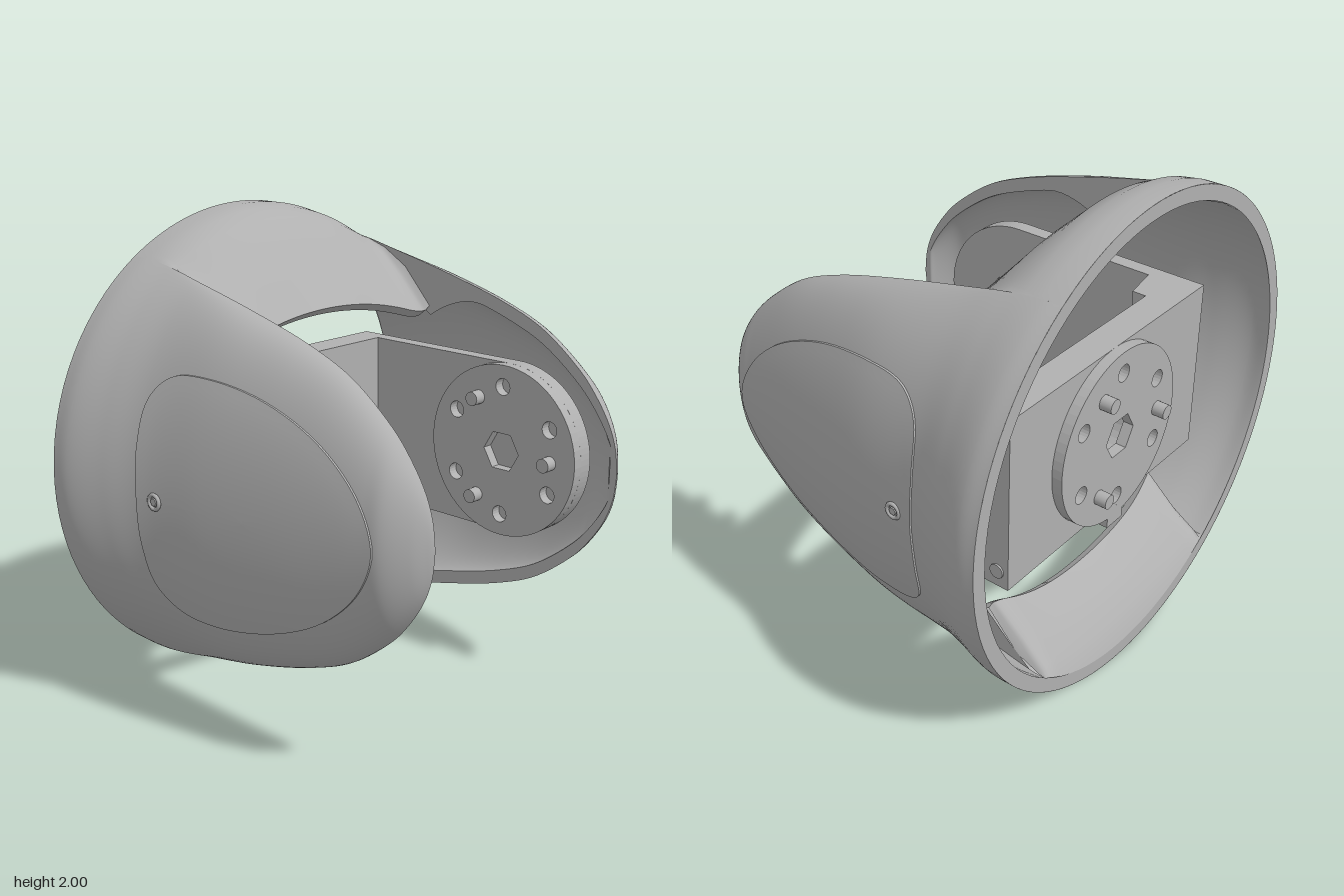
import * as THREE from 'three';

const INNER = 0.555; // half width of the gap between the two arms
const WALL = 0.06;
const { lerp, clamp, smoothstep } = THREE.MathUtils;

// Arm profile along z: rows of (z, half height, outermost x)
const profile = new THREE.CatmullRomCurve3([
  [-0.78, 0.832, 1], [-0.7, 0.832, 0.998], [-0.55, 0.81, 0.94], [-0.4, 0.776, 0.882],
  [-0.1, 0.705, 0.838], [0.2, 0.62, 0.787], [0.4, 0.535, 0.75], [0.58, 0.4, 0.716],
  [0.65, 0.325, 0.7], [0.73, 0.205, 0.635], [0.767, 0.105, 0.582], [0.78, 0, 0.555],
].map(p => new THREE.Vector3(...p)), false, 'centripetal').getPoints(110).map(p => p.toArray());

// Scoops between the arms: rows of (z at centre, height at centre, height at edge, z at edge)
const topScoop = [[-0.78, 1, 0.832, -0.78], [-0.7, 1, 0.832, -0.7], [-0.63, 0.985, 0.825, -0.63],
  [-0.56, 0.95, 0.8, -0.56], [-0.46, 0.855, 0.74, -0.46], [-0.36, 0.735, 0.645, -0.34], [-0.26, 0.615, 0.51, -0.2]];
const bottomScoop = [[-0.78, 1, 0.832, -0.78], [-0.7, 0.9, 0.78, -0.7],
  [-0.6, 0.79, 0.69, -0.59], [-0.5, 0.69, 0.56, -0.45]];

// Piecewise linear lookup of column vc in rows sorted by column zc
function lookup(rows, zc, vc, z) {
  let i = 1;
  while (i < rows.length - 1 && rows[i][zc] < z) i++;
  const a = rows[i - 1], b = rows[i];
  return lerp(a[vc], b[vc], clamp((z - a[zc]) / (b[zc] - a[zc]), 0, 1));
}

// Outer x of an arm section at relative height s
function bulge(z, X, s) {
  const round = (Math.sqrt(1 - 0.692 * s * s) - INNER) / (1 - INNER);
  const oval = Math.sqrt(Math.max(0, 1 - s * s));
  return INNER + (X - INNER) * lerp(round, oval, smoothstep(z, -0.6, 0));
}

// Surface from a function of two indices
function grid(nu, nv, fn) {
  const pos = [], idx = [];
  for (let i = 0; i <= nu; i++) for (let j = 0; j <= nv; j++) pos.push(...fn(i, j));
  for (let i = 0; i < nu; i++) for (let j = 0; j < nv; j++) {
    const a = i * (nv + 1) + j, b = a + nv + 1;
    idx.push(a, b, a + 1, b, b + 1, a + 1);
  }
  const g = new THREE.BufferGeometry();
  g.setAttribute('position', new THREE.Float32BufferAttribute(pos, 3));
  g.setIndex(idx);
  g.computeVertexNormals();
  return g;
}

const polygon = points => new THREE.Shape(points.map(p => new THREE.Vector2(...p)));

const circlePath = (x, y, r, sides = 32) => new THREE.Path(Array.from({ length: sides }, (_, i) => {
  const a = i / sides * Math.PI * 2;
  return new THREE.Vector2(x + r * Math.cos(a), y + r * Math.sin(a));
}));

function plate(outline, holes, depth) {
  const shape = new THREE.Shape(outline.getPoints(24));
  shape.holes.push(...holes);
  return new THREE.ExtrudeGeometry(shape, { depth, bevelEnabled: false });
}

export function createModel() {
  const grey = new THREE.MeshStandardMaterial({ color: 0xb0b0b0, side: THREE.DoubleSide });
  grey.name = 'grey';
  const model = new THREE.Group();
  const add = (parent, name, geo, x = 0, y = 0, z = 0) => {
    const m = new THREE.Mesh(geo, grey);
    m.name = name;
    m.position.set(x, y, z);
    parent.add(m);
    return m;
  };

  // Everything below is built around the shell axis, then lifted
  const body = new THREE.Group();
  body.name = 'jointBody';
  body.position.y = 1;
  model.add(body);

  const n = profile.length - 1, m = 40;
  const armSkin = inset => grid(n, m, (i, j) => {
    const [z, height, width] = profile[i], s = Math.sin((j / m - 0.5) * Math.PI);
    const h = Math.max(0, height - inset), X = Math.max(INNER, width - inset);
    return [bulge(z, X, s), h * s, z];
  });
  // Flat rim facing the gap, deepest where it runs into the scoop
  const armRim = (scoop, sign) => grid(n, 1, (i, j) => {
    const [z, h] = profile[i], lip = scoop[scoop.length - 1];
    let low = lookup(scoop, 3, 2, z);
    if (z > lip[3]) {
      const start = lookup(profile, 0, 1, lip[3]) - lip[2];
      low = h - lerp(start, WALL, Math.sqrt(smoothstep(z, lip[3], lip[3] + 0.3)));
    }
    return [INNER, sign * (j ? Math.max(0, Math.min(low, h)) : h), z];
  });

  // Access panel, slightly proud of the arm skin
  const outline = new THREE.CatmullRomCurve3([[-0.41, 0], [-0.41, 0.2], [-0.385, 0.38], [-0.3, 0.465],
    [-0.12, 0.485], [0.15, 0.44], [0.4, 0.325], [0.57, 0.16], [0.63, 0], [0.57, -0.16], [0.4, -0.325],
    [0.15, -0.44], [-0.12, -0.485], [-0.3, -0.465], [-0.385, -0.38], [-0.41, -0.2]]
    .map(([z, y]) => new THREE.Vector3(0, y, z)), true).getPoints(96);
  const panelPoint = (j, r, lift) => {
    const z = lerp(0.1, outline[j].z, r), y = outline[j].y * r;
    return [bulge(z, lookup(profile, 0, 2, z), y / lookup(profile, 0, 1, z)) + lift, y, z];
  };
  const panel = grid(13, 96, (i, j) => panelPoint(j, i / 13, 0.008));
  const panelEdge = grid(1, 96, (i, j) => panelPoint(j, 1, i ? -0.01 : 0.008));

  for (const side of [1, -1]) {
    const arm = new THREE.Group();
    arm.name = side > 0 ? 'leftArm' : 'rightArm';
    arm.scale.x = side;
    body.add(arm);
    add(arm, 'armOuterSkin', armSkin(0));
    add(arm, 'armInnerSkin', armSkin(WALL));
    add(arm, 'armUpperRim', armRim(topScoop, 1));
    add(arm, 'armLowerRim', armRim(bottomScoop, -1));
    add(arm, 'sidePanel', panel);
    add(arm, 'sidePanelEdge', panelEdge);
    add(arm, 'panelScrewRing', new THREE.TorusGeometry(0.028, 0.008, 8, 24), 0.878, 0, -0.32).rotation.y = Math.PI / 2;
    add(arm, 'panelScrew', new THREE.CylinderGeometry(0.016, 0.016, 0.03, 6), 0.868, 0, -0.32).rotation.z = Math.PI / 2;
  }

  // Scooped bands joining the arms above and below, filleted into the arms
  const band = (rows, sign, part) => {
    const last = rows.length - 1, cols = 72, FILLET = 0.46;
    const at = (i, j, inner) => {
      const x = (j / cols * 2 - 1) * INNER, [z0, c, e, z1] = rows[i];
      const arc = (1 - Math.sqrt(1 - x * x)) / 0.168; // 0 at centre, 1 at the edge
      const z = lerp(z0, z1, (x / INNER) ** 4);
      const u = clamp((Math.abs(x) - FILLET) / (INNER - FILLET), 0, 1);
      const rise = (lookup(profile, 0, 1, z) - e) * (1 - Math.sqrt(1 - u * u)) * (1 - 0.8 * (i / last) ** 3);
      const y = lerp(c, e, Math.min(arc, 1)) + rise;
      return inner ? [x, sign * (y - (i === last ? 0.03 : WALL)), i ? z - 0.04 : z] : [x, sign * y, z];
    };
    add(body, part + 'BandOuter', grid(last, cols, (i, j) => at(i, j, false)));
    add(body, part + 'BandInner', grid(last, cols, (i, j) => at(i, j, true)));
    add(body, part + 'BandLip', grid(1, cols, (i, j) => at(last, j, i === 1)));
  };
  band(topScoop, 1, 'upper');
  band(bottomScoop, -1, 'lower');
  add(body, 'backRim', new THREE.RingGeometry(0.94, 1, 96), 0, 0, -0.78);

  // U-shaped bracket: back plate with countersunk bore and counterbored holes
  const bracket = new THREE.Group();
  bracket.name = 'bracket';
  body.add(bracket);
  const drill = [[0.24, 0.14], [-0.24, 0.14], [0.24, -0.14], [-0.24, -0.14]];
  add(bracket, 'backPlate', plate(polygon([[-0.62, -0.37], [0.62, -0.37], [0.62, 0.37], [-0.62, 0.37]]),
    [circlePath(0, 0, 0.14), ...drill.map(([x, y]) => circlePath(x, y, 0.06))], 0.13), 0, 0, -0.63);
  for (const [x, y] of drill)
    add(bracket, 'counterbore', new THREE.RingGeometry(0.036, 0.06, 24), x, y, -0.53);
  add(bracket, 'countersink', new THREE.CylinderGeometry(0.14, 0.1, 0.05, 40, 1, true), 0, 0, -0.525).rotation.x = Math.PI / 2;
  add(bracket, 'rib', new THREE.BoxGeometry(0.37, 0.06, 0.03), 0.325, 0, -0.495);

  // Sloped corner step beside the right cheek
  const step = polygon([[-0.62, -0.5], [-0.4, -0.5], [-0.4, -0.44], [-0.62, -0.4]]);
  add(bracket, 'cornerStep', plate(step, [], 0.74), 0, 0.37, 0).rotation.x = Math.PI / 2;

  // Round-ended cheeks
  const cheek = holes => {
    const s = new THREE.Shape();
    s.moveTo(0.63, -0.37).lineTo(0.63, 0.37).lineTo(-0.24, 0.37);
    s.absarc(-0.24, 0, 0.37, Math.PI / 2, Math.PI * 1.5, false);
    return plate(s, holes, 0.065).rotateY(Math.PI / 2);
  };
  add(bracket, 'leftCheek', cheek([]), INNER, 0, 0);
  add(bracket, 'rightCheek', cheek([circlePath(-0.24, 0, 0.15)]), -0.62, 0, 0);
  const nut = plate(circlePath(0, 0, 0.13), [circlePath(0, 0, 0.09, 6)], 0.055).rotateY(Math.PI / 2);
  add(bracket, 'hexSocket', nut, -0.622, 0, 0.24);
  add(bracket, 'socketRing', new THREE.TorusGeometry(0.145, 0.014, 8, 40), -0.568, 0, 0.24).rotation.y = Math.PI / 2;
  for (const y of [-0.3, 0.3]) for (const z of [-0.58, -0.46]) for (const x of [-0.62, 0.62])
    add(bracket, 'cheekScrew', new THREE.CylinderGeometry(0.03, 0.03, 0.015, 16), x, y, z).rotation.z = Math.PI / 2;

  // Round hubs with three pins, six holes and a hexagonal bore
  const hub = name => {
    const g = new THREE.Group();
    g.name = name;
    body.add(g);
    const spot = (degrees, r) => [r * Math.cos(degrees * Math.PI / 180), r * Math.sin(degrees * Math.PI / 180)];
    const holes = [30, 90, 150, 210, 270, 330].map(a => circlePath(...spot(a, 0.278), 0.036, 20));
    add(g, 'hubDisc', plate(circlePath(0, 0, 0.37, 64), [circlePath(0, 0, 0.09, 6), ...holes], 0.045));
    for (const a of [0, 120, 240])
      add(g, 'hubPin', new THREE.CylinderGeometry(0.03, 0.03, 0.06, 20), ...spot(a, 0.248), 0.067).rotation.x = Math.PI / 2;
    return g;
  };
  const sideHub = hub('sideHub');
  sideHub.position.set(INNER, 0, 0.24);
  sideHub.rotation.y = -Math.PI / 2;
  const backHub = hub('backHub');
  backHub.position.z = -0.63;
  backHub.rotation.y = Math.PI;
  add(backHub, 'hubTab', new THREE.BoxGeometry(0.1, 0.08, 0.05), 0, -0.37, 0.02);

  return model;
}
